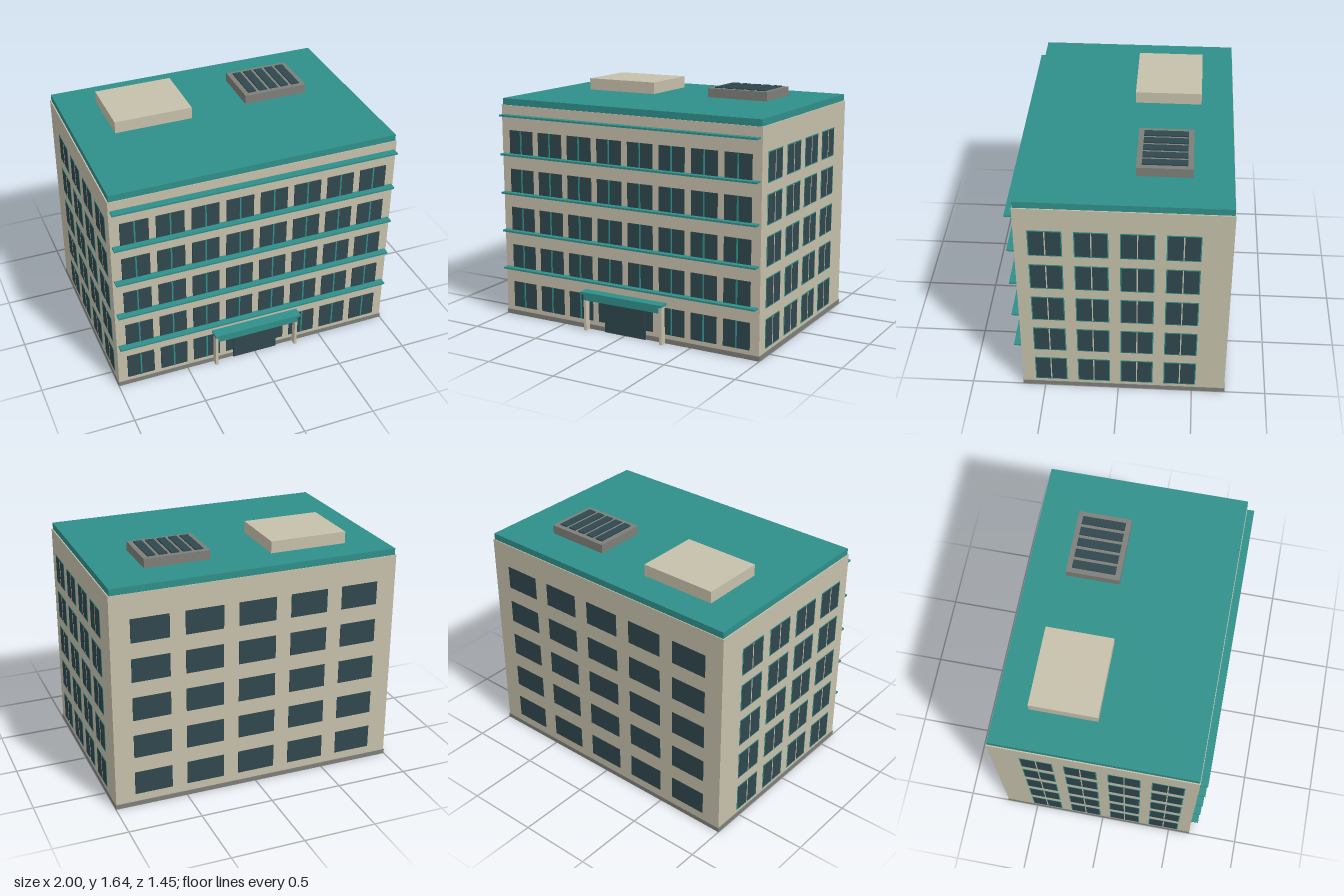
import * as THREE from 'three';

const mat = (color) => new THREE.MeshStandardMaterial({ color });

export function createModel() {
  const model = new THREE.Group();
  model.name = 'officeBuilding';
  const wall = mat(0xc6c0aa), teal = mat(0x2f8f8a), glass = mat(0x2f474d), grey = mat(0x7e7e79);

  // Box given by its minimum and maximum along each axis
  const box = (name, material, [x0, x1], [y0, y1], [z0, z1], parent = model) => {
    const mesh = new THREE.Mesh(new THREE.BoxGeometry(x1 - x0, y1 - y0, z1 - z0), material);
    mesh.position.set((x0 + x1) / 2, (y0 + y1) / 2, (z0 + z1) / 2);
    mesh.name = name;
    parent.add(mesh);
    return mesh;
  };
  const span = (centre, size) => [centre - size / 2, centre + size / 2];
  const group = (name) => {
    const g = new THREE.Group();
    g.name = name;
    model.add(g);
    return g;
  };

  // Main volume
  const W = 0.996, front = 0.65, back = -0.721;
  box('plinth', grey, [-1, 1], [0, 0.032], [-0.725, 0.654]);
  box('walls', wall, [-W, W], [0.032, 1.51], [back, front]);
  box('roofSlab', teal, [-0.988, 0.988], [1.51, 1.555], [-0.715, 0.645]);

  const frontWindows = group('frontWindows');
  const sideWindows = group('sideWindows');
  const backWindows = group('backWindows');
  const ledges = group('ledges');
  for (let floor = 0; floor < 5; floor++) {
    const y = 0.155 + floor * 0.2725;

    // Front: eight panes with a central mullion, under a full-width ledge
    for (let i = 0; i < 8; i++) {
      const x = (i - 3.5) * 0.2386;
      box('frontPane', glass, span(x, 0.19), span(y, 0.183), [front - 0.01, 0.657], frontWindows);
      box('frontMullion', teal, span(x, 0.01), span(y, 0.183), [front, 0.661], frontWindows);
    }
    box('ledge', teal, [-0.984, 0.984], span(y + 0.195, 0.012), [front - 0.01, 0.7], ledges);

    // Sides: four framed windows on each
    for (const s of [-1, 1]) {
      const out = (d) => (s > 0 ? [W - 0.01, W + d] : [-W - d, 0.01 - W]);
      for (let i = 0; i < 4; i++) {
        const z = 0.455 - i * 0.29;
        box('sideFrame', teal, out(0.002), span(y, 0.2), span(z, 0.217), sideWindows);
        box('sidePane', glass, out(0.003), span(y, 0.186), span(z, 0.203), sideWindows);
        box('sideMullion', wall, out(0.004), span(y, 0.186), span(z, 0.008), sideWindows);
      }
    }

    // Back: five plain panes
    for (let i = -2; i <= 2; i++) {
      box('backPane', glass, span(i * 0.366, 0.26), span(y + 0.015, 0.163), [back - 0.003, back + 0.01], backWindows);
    }
  }

  // Entrance with canopy and posts
  const entrance = group('entrance');
  box('door', glass, [-0.16, 0.16], [0, 0.24], [front - 0.01, 0.664], entrance);
  box('canopy', teal, [-0.318, 0.318], [0.265, 0.281], [front - 0.01, 0.725], entrance);
  box('canopyFascia', teal, [-0.295, 0.295], [0.225, 0.265], [0.714, 0.722], entrance);
  for (const s of [-1, 1]) {
    box('post', wall, span(s * 0.299, 0.018), [0, 0.265], [0.656, 0.7], entrance);
  }

  // Rooftop structures
  box('roofHousing', wall, [-0.725, -0.185], [1.55, 1.637], [-0.5, -0.05]);
  const vent = group('roofVent');
  box('ventBody', grey, [0.225, 0.675], [1.55, 1.618], [-0.455, -0.095], vent);
  for (let i = -2; i <= 2; i++) {
    box('ventSlot', glass, span(0.45 + i * 0.081, 0.057), [1.61, 1.626], [-0.42, -0.13], vent);
  }

  return model;
}
